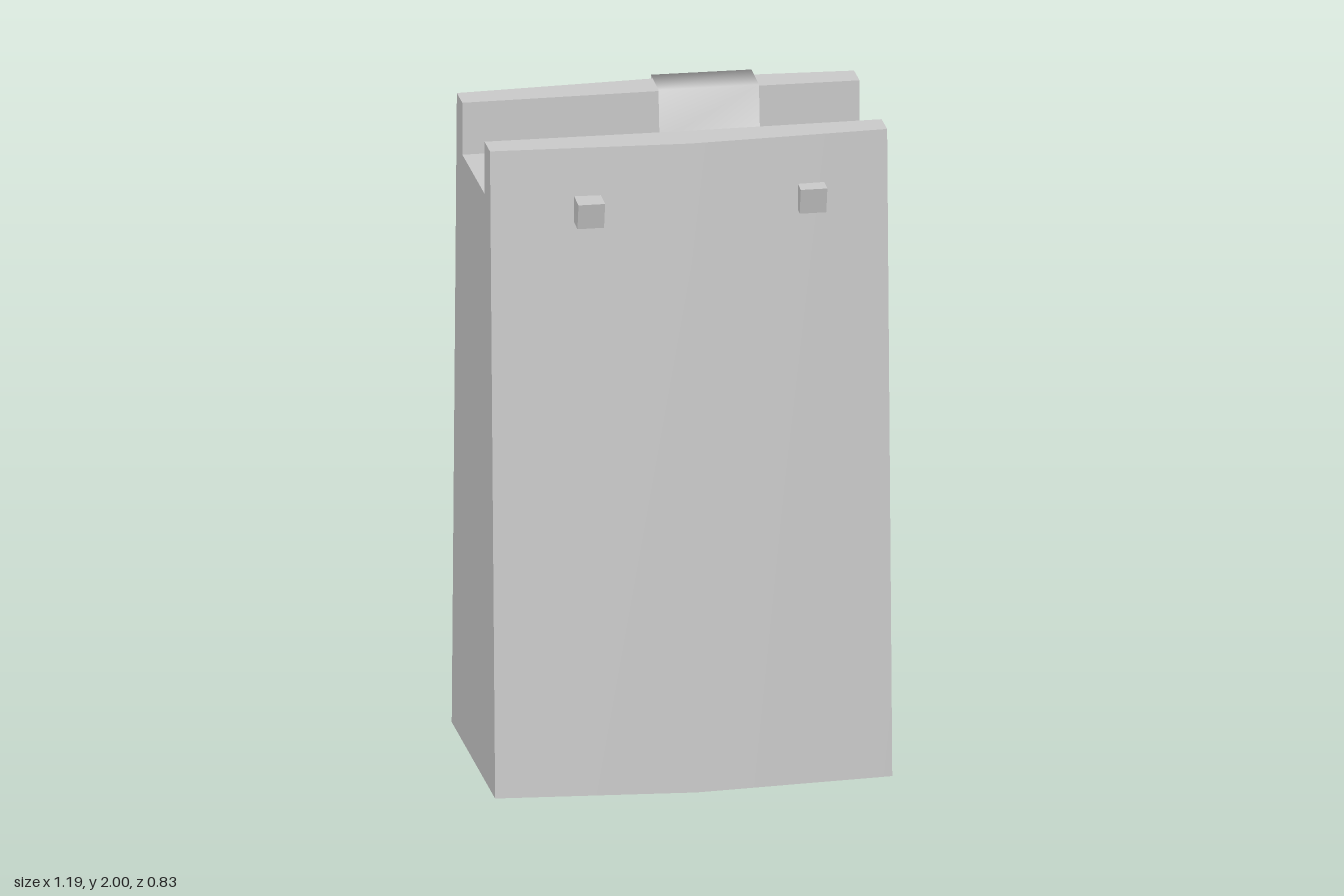
import * as THREE from 'three';
import { toCreasedNormals } from 'three/addons/utils/BufferGeometryUtils.js';

const material = new THREE.MeshStandardMaterial({ color: 0xcccccc, side: THREE.DoubleSide });
const HALF_WIDTH = 0.597;

function addMesh(parent, name, geometry) {
  const mesh = new THREE.Mesh(geometry, material);
  mesh.name = name;
  parent.add(mesh);
  return mesh;
}

// Surface through a row of cross-sections, each a list of Vector3.
function loft(sections) {
  const rows = sections[0].length;
  const index = [];
  for (let i = 0; i < sections.length - 1; i++) {
    for (let j = 0; j < rows - 1; j++) {
      const a = i * rows + j, b = a + rows;
      index.push(a, b, b + 1, a, b + 1, a + 1);
    }
  }
  const geometry = new THREE.BufferGeometry().setFromPoints(sections.flat());
  geometry.setIndex(index);
  geometry.computeVertexNormals();
  return geometry;
}

// Outline (z, y) of the tapered block with its top channel, deepest at x = 0.
function wallProfile(x) {
  const k = 1 - Math.abs(x) / HALF_WIDTH;
  const inner = 0.185 + 0.006 * k;
  const front = [
    [0.364 + 0.049 * k, 0],
    [0.278 + 0.032 * k, 1.99],
    [inner, 1.99],
    [inner, 1.828],
  ];
  const back = front.map(([z, y]) => [-z, y]).reverse();
  return [...front, ...back];
}

function addBody(parent) {
  const body = new THREE.Group();
  body.name = 'body';
  parent.add(body);

  // Shell, open underneath
  const sections = [-HALF_WIDTH, 0, HALF_WIDTH].map(x =>
    wallProfile(x).map(([z, y]) => new THREE.Vector3(x, y, z)));
  addMesh(body, 'shell', toCreasedNormals(loft(sections), 0.5));

  // Flat notched ends
  const outline = new THREE.Shape(wallProfile(HALF_WIDTH).map(([z, y]) => new THREE.Vector2(z, y)));
  for (const side of [-1, 1]) {
    const end = new THREE.ShapeGeometry(outline);
    end.rotateY(side * Math.PI / 2);
    end.translate(side * HALF_WIDTH, 0, 0);
    addMesh(body, side > 0 ? 'leftEnd' : 'rightEnd', end);
  }
}

// Crossbeam running through both walls, slightly skewed with undercut ends.
function addBeam(parent, name, xFront, xBack, zFront) {
  const geometry = new THREE.BoxGeometry(0.08, 0.08, 1);
  const p = geometry.attributes.position;
  for (let i = 0; i < p.count; i++) {
    const front = p.getZ(i) > 0;
    const top = p.getY(i) > 0;
    p.setX(i, p.getX(i) + (front ? xFront : xBack));
    p.setY(i, p.getY(i) + 1.802);
    p.setZ(i, front ? zFront - (top ? 0 : 0.018) : (top ? -0.378 : -0.335));
  }
  geometry.computeVertexNormals();
  addMesh(parent, name, geometry);
}

// Thin sheet draped over the back wall, from the outside down onto the floor.
function addDrape(parent) {
  const edge = (x, points) => points.map(([z, y]) => new THREE.Vector3(x, y, z));
  const rightEdge = edge(-0.007, [
    [-0.348, 1.34], [-0.316, 2], [-0.188, 1.994], [-0.17, 1.84], [-0.08, 1.835],
  ]);
  const leftEdge = edge(0.295, [
    [-0.333, 1.48], [-0.312, 2], [-0.187, 1.994], [-0.17, 1.84], [-0.03, 1.835],
  ]);
  addMesh(parent, 'drape', loft([leftEdge, rightEdge]));
}

export function createModel() {
  const model = new THREE.Group();
  model.name = 'taperedPier';
  addBody(model);
  addBeam(model, 'rightBeam', -0.31, -0.29, 0.385);
  addBeam(model, 'leftBeam', 0.363, 0.386, 0.358);
  addDrape(model);
  return model;
}
